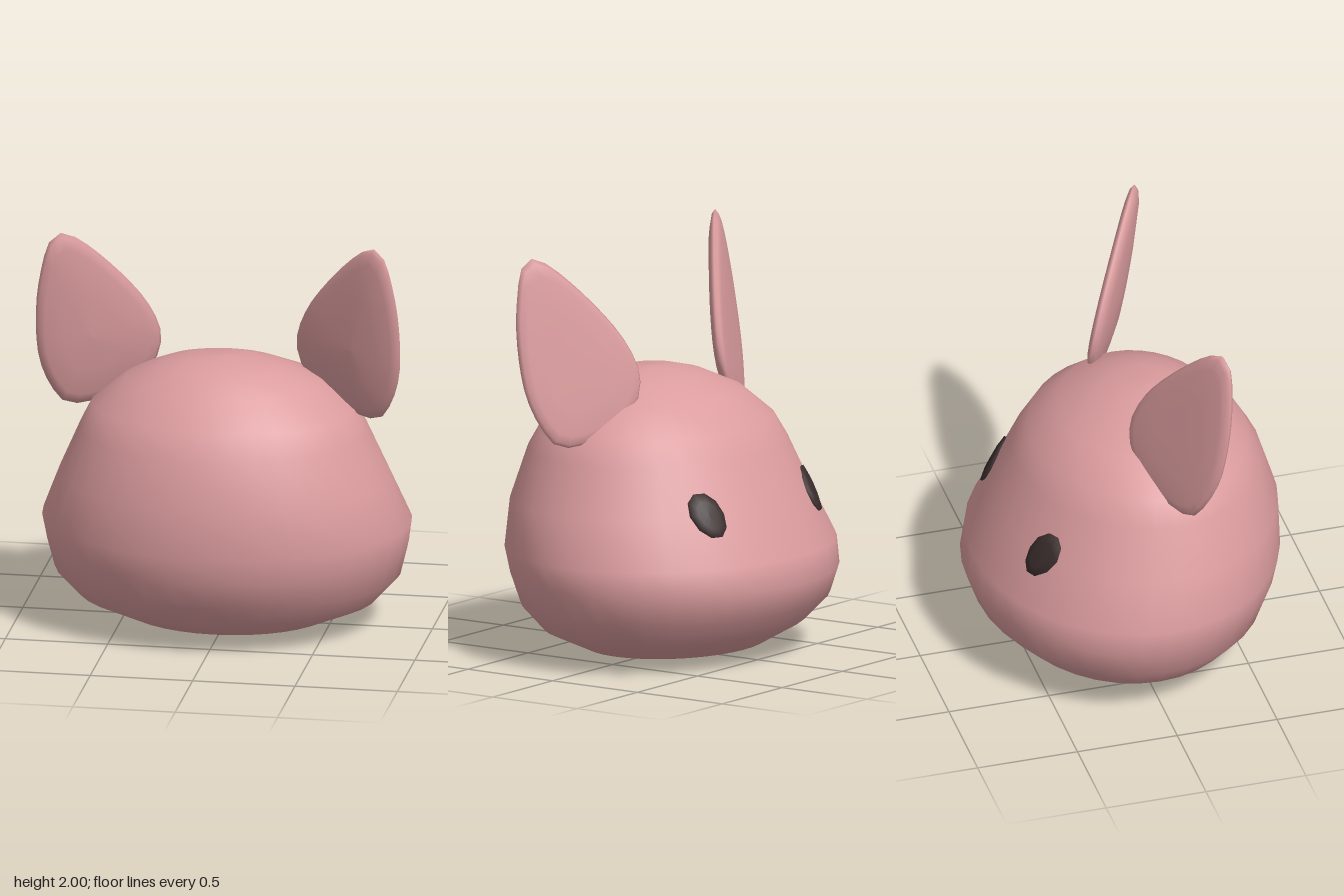
import * as THREE from 'three';

const pink = new THREE.MeshStandardMaterial({ color: 0xdb9c9e });
pink.name = 'pink skin';
const dark = new THREE.MeshStandardMaterial({ color: 0x3a2c2c });
dark.name = 'dark eye';

// Joins closed rings of equal length; side -1 mirrors the result across x.
function loft(rings, side = 1) {
  const n = rings[0].length;
  const positions = [];
  const index = [];
  rings.forEach((ring) => ring.forEach((p) => positions.push(p[0] * side, p[1], p[2])));
  for (let i = 0; i < rings.length - 1; i++) {
    for (let j = 0; j < n; j++) {
      const k = (j + 1) % n;
      const a = i * n + j, b = (i + 1) * n + j, c = (i + 1) * n + k, d = i * n + k;
      if (side > 0) index.push(a, b, c, a, c, d);
      else index.push(a, c, b, a, d, c);
    }
  }
  const geometry = new THREE.BufferGeometry();
  geometry.setAttribute('position', new THREE.Float32BufferAttribute(positions, 3));
  geometry.setIndex(index);
  geometry.computeVertexNormals();
  return geometry;
}

function circle(n, f) {
  return Array.from({ length: n }, (_, j) => {
    const t = (j / n) * Math.PI * 2;
    return f(Math.cos(t), Math.sin(t));
  });
}

// Head sections: height, half width, front z, back z
const sections = [
  [0, 0, 0, 0],
  [0.005, 0.22, 0.15, -0.18],
  [0.04, 0.5, 0.39, -0.42],
  [0.14, 0.73, 0.57, -0.59],
  [0.26, 0.84, 0.68, -0.71],
  [0.4, 0.875, 0.735, -0.76],
  [0.53, 0.895, 0.76, -0.735],
  [0.76, 0.805, 0.755, -0.62],
  [1.0, 0.7, 0.68, -0.51],
  [1.12, 0.64, 0.61, -0.43],
  [1.25, 0.48, 0.49, -0.29],
  [1.33, 0.31, 0.38, -0.11],
  [1.365, 0.17, 0.28, 0],
  [1.375, 0, 0.13, 0.13],
];

function headGeometry() {
  return loft(sections.map(([y, w, front, back]) =>
    circle(36, (c, s) => [w * c, y, (front + back) / 2 + ((front - back) / 2) * s])));
}

// z of the face surface at a given x and y
function faceZ(x, y) {
  const i = sections.findIndex((s) => s[0] > y);
  const a = sections[i - 1], b = sections[i];
  const t = (y - a[0]) / (b[0] - a[0]);
  const [w, front, back] = [1, 2, 3].map((k) => a[k] + (b[k] - a[k]) * t);
  return (front + back) / 2 - ((front - back) / 2) * Math.sqrt(1 - (x / w) ** 2);
}

// Oval eye that follows the face
function eyeGeometry(side) {
  const layers = [[1, -0.012], [1, 0.008], [0.6, 0.014], [0, 0.016]];
  return loft(layers.map(([r, lift]) => circle(10, (c, s) => {
    const x = 0.427 + 0.078 * r * c, y = 0.775 + 0.105 * r * s;
    return [x + lift * 0.5, y + lift * 0.4, faceZ(x, y) - lift];
  })), side);
}

// Pointed ear: an outline domed on both faces, leaning along a slanted plane
const earOutline = [
  [0.765, 2.0], [0.81, 1.97], [0.865, 1.78], [0.888, 1.57], [0.878, 1.34],
  [0.83, 1.19], [0.77, 1.1], [0.68, 1.085], [0.5, 1.15], [0.37, 1.26],
  [0.33, 1.4], [0.38, 1.57], [0.52, 1.78], [0.7, 1.97],
];

function earGeometry(side) {
  const curve = new THREE.CatmullRomCurve3(
    earOutline.map(([x, y]) => new THREE.Vector3(x, y, 0)), true);
  const outline = curve.getSpacedPoints(32).slice(0, 32);
  const layers = [
    [0, -0.03], [0.5, -0.03], [0.85, -0.026], [0.96, -0.016], [1, 0],
    [0.96, 0.018], [0.85, 0.035], [0.5, 0.052], [0, 0.058],
  ];
  return loft(layers.map(([r, bulge]) => outline.map((p) => {
    const x = 0.65 + (p.x - 0.65) * r, y = 1.45 + (p.y - 1.45) * r;
    const z = -0.04 + 0.53 * (x - 0.33) + 0.17 * (y - 1.4);
    return [x - bulge * 0.3, y, z + bulge];
  })), side);
}

export function createModel() {
  const group = new THREE.Group();
  group.name = 'animalHead';
  const add = (name, geometry, material) => {
    const mesh = new THREE.Mesh(geometry, material);
    mesh.name = name;
    group.add(mesh);
  };
  add('head', headGeometry(), pink);
  for (const [label, side] of [['left', 1], ['right', -1]]) {
    add(label + 'Ear', earGeometry(side), pink);
    add(label + 'Eye', eyeGeometry(side), dark);
  }
  return group;
}
